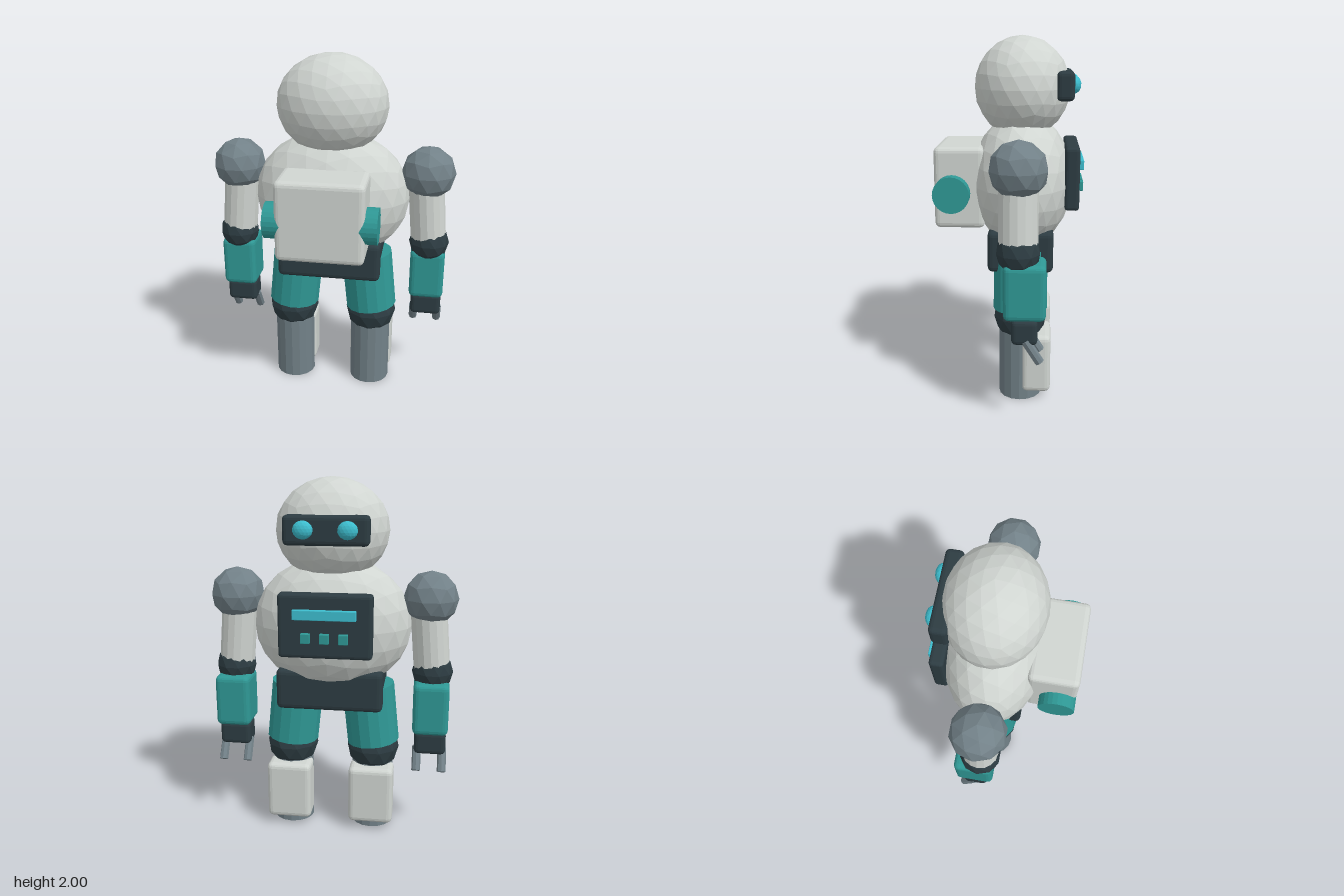
import * as THREE from 'three';
import { RoundedBoxGeometry } from 'three/addons/geometries/RoundedBoxGeometry.js';

const paint = (name, color) => Object.assign(new THREE.MeshStandardMaterial({ color }), { name });

export function createModel() {
  const robot = new THREE.Group();
  robot.name = 'robot';
  const white = paint('shellWhite', 0xd0d5d1);
  const grey = paint('jointGrey', 0x728188);
  const dark = paint('darkSlate', 0x2d3c42);
  const teal = paint('teal', 0x2f9895);
  const cyan = paint('glowCyan', 0x3dbdce);
  const midZ = -0.068; // body axis

  function add(name, geometry, material) {
    const faceted = geometry.index ? geometry.toNonIndexed() : geometry;
    faceted.computeVertexNormals(); // flat facets
    const mesh = new THREE.Mesh(faceted, material);
    mesh.name = name;
    robot.add(mesh);
    return mesh;
  }

  // Faceted ellipsoid with a vertex at its pole
  function ball(name, material, center, radii, detail) {
    const g = new THREE.IcosahedronGeometry(1, detail);
    g.rotateX(-Math.atan((1 + Math.sqrt(5)) / 2));
    g.scale(...radii);
    add(name, g, material).position.set(...center);
  }

  // Bevelled box given by its two opposite corners
  function box(name, material, min, max, bevel) {
    const size = max.map((v, i) => v - min[i]);
    add(name, new RoundedBoxGeometry(...size, 2, bevel), material)
      .position.set(...max.map((v, i) => (v + min[i]) / 2));
  }

  // Cylinder running from one point to another
  function rod(name, material, from, to, radius, sides) {
    const a = new THREE.Vector3(...from);
    const axis = new THREE.Vector3(...to).sub(a);
    const mesh = add(name, new THREE.CylinderGeometry(radius, radius, axis.length(), sides), material);
    mesh.position.copy(a).addScaledVector(axis, 0.5);
    mesh.quaternion.setFromUnitVectors(new THREE.Vector3(0, 1, 0), axis.normalize());
  }

  // Head and face, looking toward -z
  ball('head', white, [0, 1.72, midZ], [0.312, 0.28, 0.265], 3);
  box('visor', dark, [-0.225, 1.66, -0.35], [0.225, 1.815, -0.255], 0.025);

  // Torso and pelvis
  ball('torso', white, [0, 1.2, midZ], [0.445, 0.38, 0.288], 3);
  box('pelvis', dark, [-0.298, 0.733, -0.248], [0.298, 0.965, 0.112], 0.03);

  // Control panel
  box('controlPanel', dark, [-0.25, 1.075, -0.385], [0.25, 1.42, -0.305], 0.02);
  box('displayBar', cyan, [-0.167, 1.287, -0.41], [0.167, 1.34, -0.37], 0.004);
  for (const x of [-0.1, 0, 0.1])
    box('button', teal, [x - 0.025, 1.162, -0.41], [x + 0.025, 1.215, -0.37], 0.004);

  // Backpack with a tank crossing it
  box('backpack', white, [-0.24, 0.968, 0.13], [0.24, 1.415, 0.405], 0.03);
  rod('backpackTank', teal, [-0.305, 1.167, 0.305], [0.305, 1.167, 0.305], 0.1, 24);

  for (const s of [-1, 1]) {
    const boxOnSide = (name, material, x0, x1, y0, y1, z0, z1, bevel) =>
      box(name, material, [Math.min(s * x0, s * x1), y0, z0], [Math.max(s * x0, s * x1), y1, z1], bevel);

    ball('eye', cyan, [s * 0.115, 1.742, -0.35], [0.053, 0.048, 0.036], 2);

    // Arm
    ball('shoulder', grey, [s * 0.543, 1.355, midZ], [0.152, 0.152, 0.152], 1);
    rod('upperArm', white, [s * 0.53, 1.33, midZ], [s * 0.562, 0.95, midZ], 0.101, 16);
    ball('elbow', dark, [s * 0.566, 0.94, midZ], [0.115, 0.115, 0.115], 1);
    boxOnSide('forearm', teal, 0.465, 0.663, 0.6, 0.895, -0.212, 0.006, 0.03);
    boxOnSide('hand', dark, 0.477, 0.655, 0.47, 0.605, -0.17, -0.035, 0.025);
    for (const x of [0.493, 0.637])
      rod('finger', grey, [s * x, 0.495, -0.108], [s * x, 0.377, -0.182], 0.025, 8);

    // Leg
    rod('thigh', teal, [s * 0.203, 0.85, midZ], [s * 0.238, 0.51, midZ], 0.15, 16);
    ball('knee', dark, [s * 0.238, 0.475, midZ], [0.15, 0.15, 0.15], 1);
    rod('shin', grey, [s * 0.236, 0, midZ], [s * 0.236, 0.43, midZ], 0.119, 16);
    boxOnSide('shinGuard', white, 0.11, 0.365, 0.05, 0.387, -0.24, -0.08, 0.03);
  }
  return robot;
}
